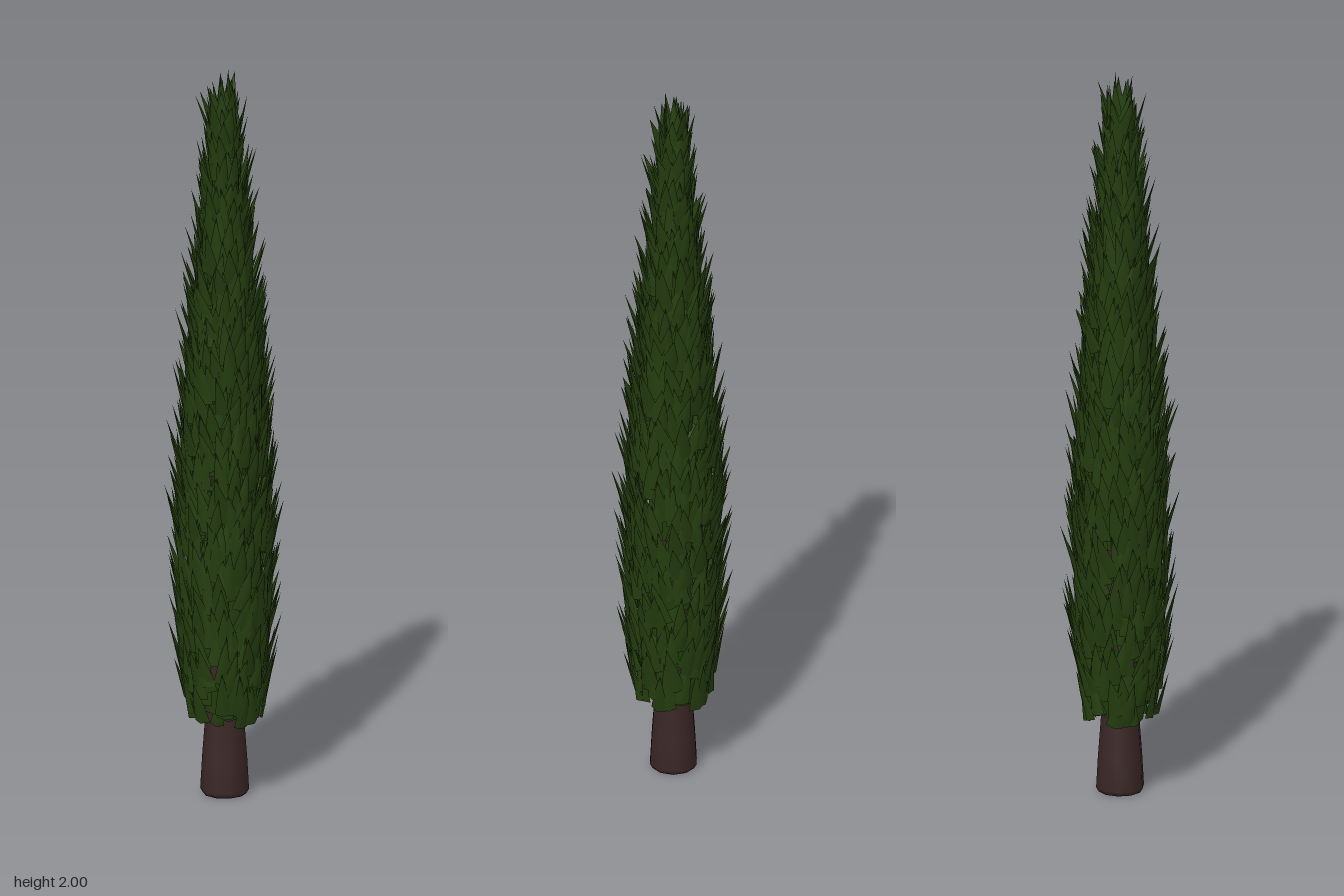
import * as THREE from 'three';
import { mergeGeometries } from 'three/addons/utils/BufferGeometryUtils.js';

// Small seeded random generator, so the foliage is always the same
function makeRandom(seed) {
  return () => {
    seed = (seed * 16807) % 2147483647;
    return seed / 2147483647;
  };
}

// One pointed, folded leaf: base at the origin, tip at y = 1, ridge towards +z
function makeLeaf() {
  const leaf = new THREE.PlaneGeometry(1, 1, 2, 2);
  const p = leaf.attributes.position;
  for (let i = 0; i < p.count; i++) {
    const x = p.getX(i), t = p.getY(i) + 0.5;
    const taper = 1 - Math.pow(t, 1.5);
    p.setXYZ(i, x * taper, t, (1 - Math.abs(2 * x)) * (1 - t));
  }
  leaf.computeVertexNormals();
  return leaf;
}

export function createModel() {
  const tree = new THREE.Group();
  tree.name = 'cypressTree';

  const bark = new THREE.MeshStandardMaterial({ color: 0x3a2626 });
  bark.name = 'dark brown bark';
  const green = new THREE.MeshStandardMaterial({ color: 0x263f10, side: THREE.DoubleSide });
  green.name = 'dark green foliage';

  // Tapered trunk, running up inside the foliage
  const trunkProfile = [
    [0, 0], [0.058, 0], [0.065, 0.012], [0.06, 0.1], [0.051, 0.22], [0.012, 1.78], [0, 1.8],
  ].map(([r, y]) => new THREE.Vector2(r, y));
  const trunk = new THREE.Mesh(new THREE.LatheGeometry(trunkProfile, 10), bark);
  trunk.name = 'trunk';
  tree.add(trunk);

  // Rings of leaves: the curve gives the radius of the leaf bases at each height
  const foliageProfile = new THREE.SplineCurve([
    [0.09, 0.215], [0.106, 0.35], [0.114, 0.6], [0.107, 0.9],
    [0.085, 1.2], [0.055, 1.5], [0.02, 1.83],
  ].map(([r, y]) => new THREE.Vector2(r, y)));

  const random = makeRandom(4711);
  const spread = (amount) => (random() * 2 - 1) * amount;
  const leaf = makeLeaf();
  const dummy = new THREE.Object3D();
  dummy.rotation.order = 'YXZ';
  const leaves = [];

  function addLeaf(angle, radius, y, width, length, tilt, twist) {
    dummy.position.set(Math.sin(angle) * radius, y, Math.cos(angle) * radius);
    dummy.rotation.set(tilt, angle, twist);
    dummy.scale.set(width, length, 0.012);
    dummy.updateMatrix();
    leaves.push(leaf.clone().applyMatrix4(dummy.matrix));
  }

  foliageProfile.getSpacedPoints(42).forEach((ring, row) => {
    const count = Math.round(7 + ring.x * 165);
    for (let i = 0; i < count; i++) {
      const angle = ((i + spread(0.3)) / count) * Math.PI * 2 + row * 2.4;
      const depth = i % 4 === 0 ? 0.7 : 0.93 + random() * 0.1;
      const y = Math.max(0.205, ring.y + spread(0.018));
      addLeaf(angle, ring.x * depth, y, 0.046 + spread(0.008),
        0.13 + spread(0.02), 0.24 + spread(0.13), spread(0.22));
    }
  });

  // Upright leaves closing the crown
  for (let i = 0; i < 6; i++) {
    addLeaf(i * 2.4, 0.012, 1.83 + i * 0.004, 0.04, 0.14, 0.08 + 0.04 * (i % 3), 0);
  }
  addLeaf(2, 0.012, 1.86, 0.035, 0.14, 0, 0);

  const foliage = new THREE.Mesh(mergeGeometries(leaves), green);
  foliage.name = 'foliage';
  tree.add(foliage);

  return tree;
}
